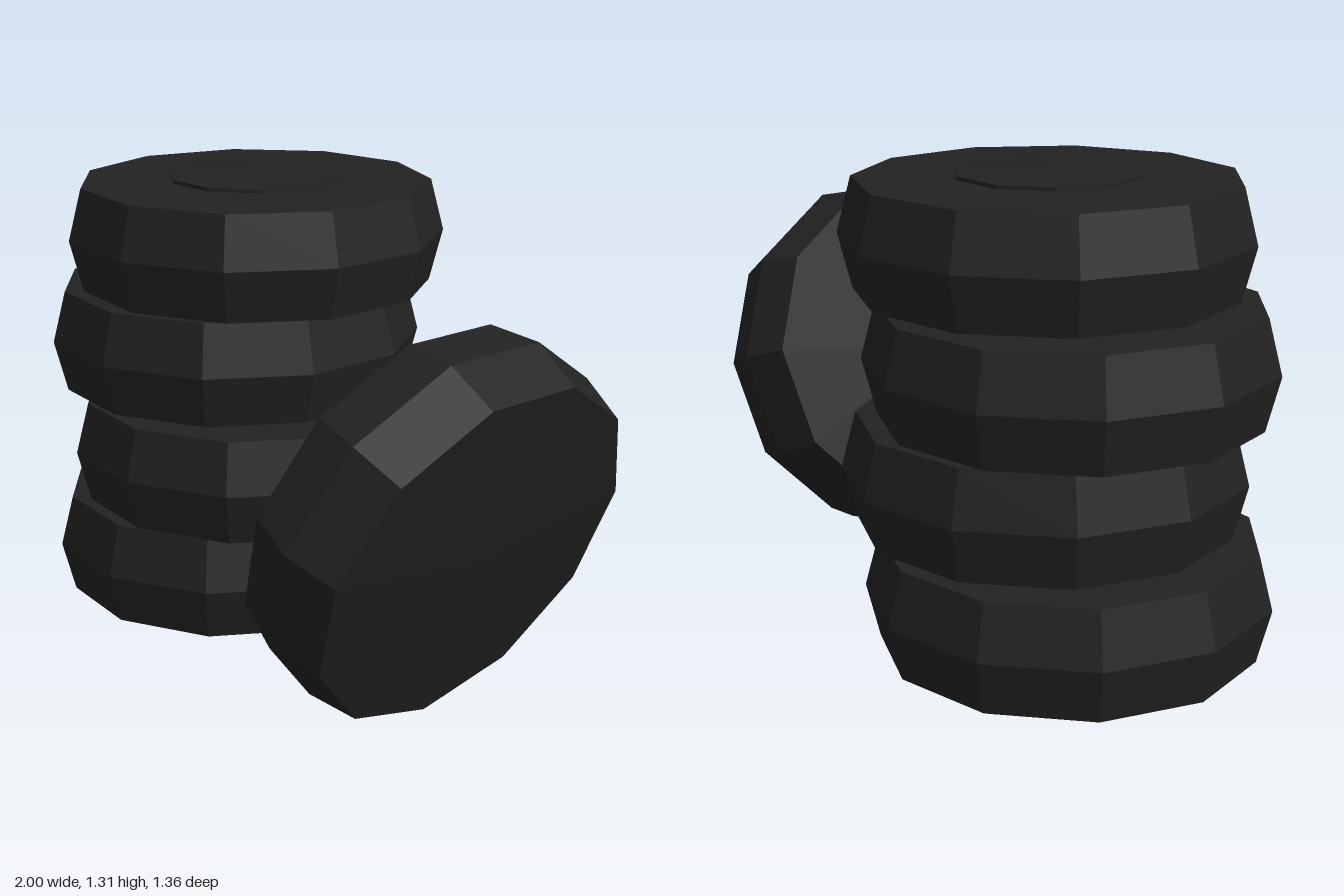
import * as THREE from 'three';

const rubber = new THREE.MeshStandardMaterial({ color: 0x222222 });
rubber.name = 'black rubber';

// Faceted solid of revolution with one corner pointing to -x
function facetedLathe(profile, sides) {
  const points = profile.map(([r, y]) => new THREE.Vector2(r, y));
  const geometry = new THREE.LatheGeometry(points, sides).rotateY(-Math.PI / 2).toNonIndexed();
  geometry.computeVertexNormals();
  return geometry;
}

// Tyre: bulged tread and slightly domed side walls, centred on its origin
const tyreGeometry = facetedLathe(
  [[0, -0.163], [0.522, -0.152], [0.561, 0], [0.522, 0.152], [0, 0.163]], 11);

// Low domed disc on top of each stacked tyre
const discGeometry = facetedLathe([[0.257, 0.145], [0.257, 0.168], [0, 0.178]], 10);

function part(name, geometry) {
  const mesh = new THREE.Mesh(geometry, rubber);
  mesh.name = name;
  return mesh;
}

export function createModel() {
  const model = new THREE.Group();
  model.name = 'tyreStack';

  // Four stacked tyres, alternately shifted sideways
  for (let i = 0; i < 4; i++) {
    const tyre = new THREE.Group();
    tyre.name = 'stackedTyre' + (i + 1);
    tyre.add(part('tyre', tyreGeometry), part('centreDisc', discGeometry));
    tyre.position.set(i % 2 ? -0.339 : -0.439, 0.166 + i * 0.324, -0.126);
    model.add(tyre);
  }

  // Single tyre leaning towards the stack
  const leaning = part('leaningTyre', tyreGeometry);
  leaning.position.set(0.681, 0.552, 0.122);
  leaning.rotation.z = THREE.MathUtils.degToRad(70);
  model.add(leaning);

  return model;
}
